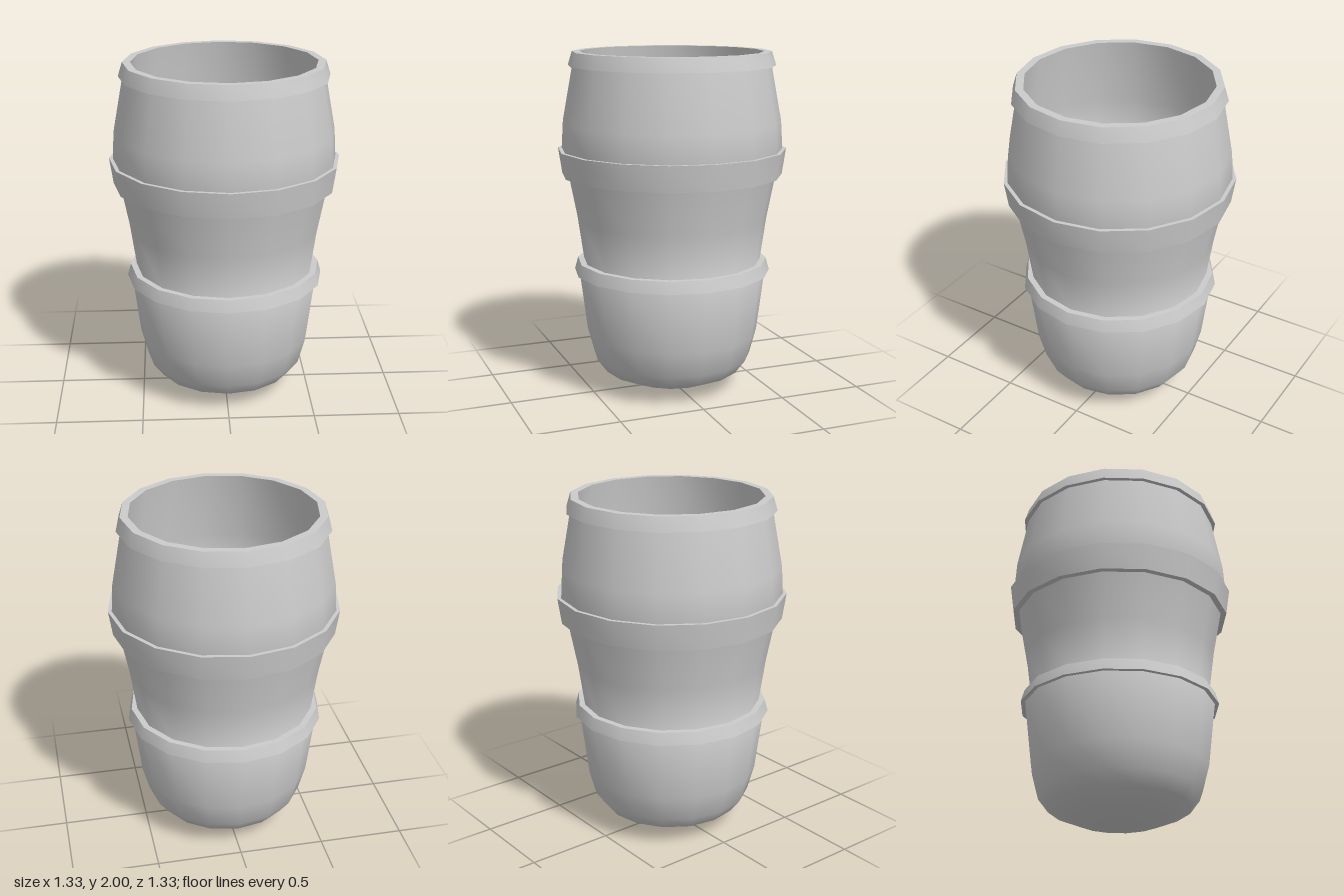
import * as THREE from 'three';
import { toCreasedNormals } from 'three/addons/utils/BufferGeometryUtils.js';

const SIDES = 16;
const material = new THREE.MeshStandardMaterial({ color: 0xcccccc });

// Turned part: profile of [radius, height] points, smooth except at sharp edges
function turned(name, profile) {
  const points = profile.map(([r, y]) => new THREE.Vector2(r, y));
  const geometry = toCreasedNormals(new THREE.LatheGeometry(points, SIDES), 0.7);
  const mesh = new THREE.Mesh(geometry, material);
  mesh.name = name;
  return mesh;
}

// Hoop: under edge, sloped outer face and top edge, seated on the barrel wall
function hoop(name, bottom, top) {
  const [bottomInner, bottomOuter, y0] = bottom;
  const [topInner, topOuter, y1] = top;
  return turned(name, [[bottomInner, y0], [bottomOuter, y0], [topOuter, y1], [topInner, y1]]);
}

export function createModel() {
  const group = new THREE.Group();
  group.name = 'barrelCup';

  // Hollow body: rounded base, outer wall, rim, then inner wall and bowl floor
  group.add(turned('body', [
    [0, 0], [0.1, 0.005], [0.26, 0.045], [0.41, 0.11], [0.47, 0.19], [0.51, 0.34],
    [0.555, 0.71], [0.525, 0.78], [0.56, 1.03], [0.61, 1.29], [0.645, 1.44],
    [0.635, 1.6], [0.575, 1.92], [0.56, 2],
    [0.53, 2], [0.59, 1.6], [0.6, 1.44], [0.565, 1.29], [0.515, 1.03],
    [0.485, 0.78], [0.46, 0.4], [0.43, 0.24], [0.38, 0.14],
    [0.24, 0.085], [0.1, 0.05], [0, 0.045],
  ]));

  // Hoops: [inner radius, outer radius, height] at the bottom and top
  group.add(hoop('lowerHoop', [0.55, 0.58, 0.71], [0.52, 0.56, 0.78]));
  group.add(hoop('middleHoop', [0.6, 0.645, 1.29], [0.64, 0.667, 1.44]));
  group.add(hoop('rimHoop', [0.57, 0.6, 1.92], [0.56, 0.575, 2]));
  return group;
}
